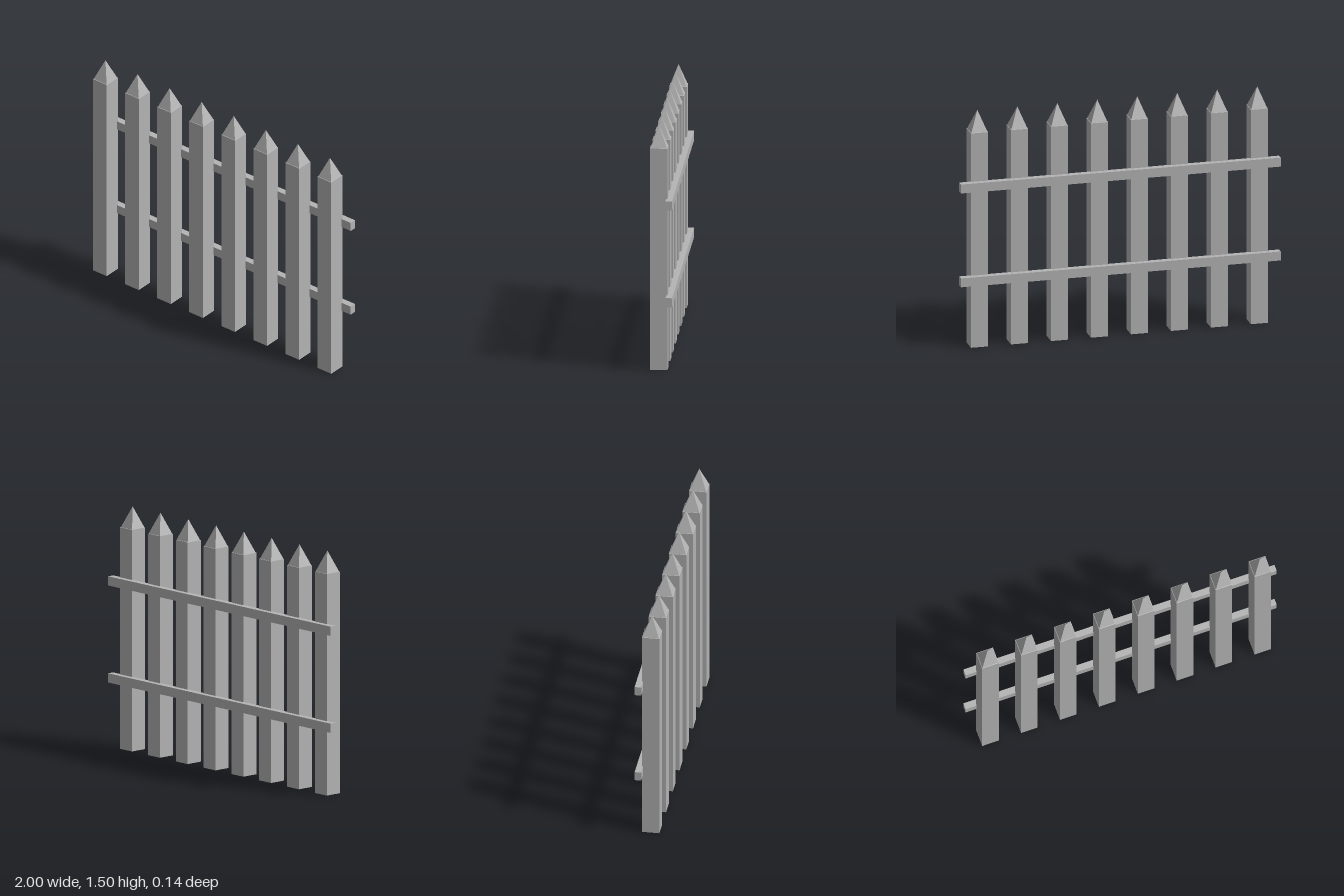
import * as THREE from 'three';

const WIDTH = 0.107;        // picket thickness
const SHAFT_TOP = 1.37;
const TIP_TOP = 1.5;
const PICKET_Z = 0.0165;

// Four-sided open tube turned square to the axes, standing on y = base
function squareTube(topWidth, bottomWidth, base, height) {
  const geometry = new THREE.CylinderGeometry(
    topWidth * Math.SQRT1_2, bottomWidth * Math.SQRT1_2, height, 4, 1, true);
  geometry.rotateY(Math.PI / 4);
  geometry.translate(0, base + height / 2, 0);
  return geometry;
}

export function createModel() {
  const fence = new THREE.Group();
  fence.name = 'picketFence';

  const grey = new THREE.MeshStandardMaterial({
    color: 0xb4b4b4, flatShading: true, side: THREE.DoubleSide });
  grey.name = 'grey';

  const add = (parent, name, geometry) => {
    const mesh = new THREE.Mesh(geometry, grey);
    mesh.name = name;
    parent.add(mesh);
    return mesh;
  };

  // Pickets: hollow square shaft, narrow shoulder and pyramid tip
  const shaft = squareTube(WIDTH, WIDTH, 0, SHAFT_TOP);
  const tipWidth = WIDTH - 0.006;
  const shoulder = squareTube(tipWidth, WIDTH, SHAFT_TOP, 0.001);
  const tip = squareTube(0, tipWidth, SHAFT_TOP + 0.001, TIP_TOP - SHAFT_TOP - 0.001);
  for (let i = 0; i < 8; i++) {
    const picket = new THREE.Group();
    picket.name = `picket${i + 1}`;
    picket.position.set(-0.875 + i * 0.25, 0, PICKET_Z);
    add(picket, 'shaft', shaft);
    add(picket, 'shoulder', shoulder);
    add(picket, 'tip', tip);
    fence.add(picket);
  }

  // Two rails along the back, sunk slightly into the pickets
  const rail = new THREE.BoxGeometry(2, 0.057, 0.041);
  add(fence, 'lowerRail', rail).position.set(0, 0.432, -0.0495);
  add(fence, 'upperRail', rail).position.set(0, 1.032, -0.0495);

  return fence;
}
